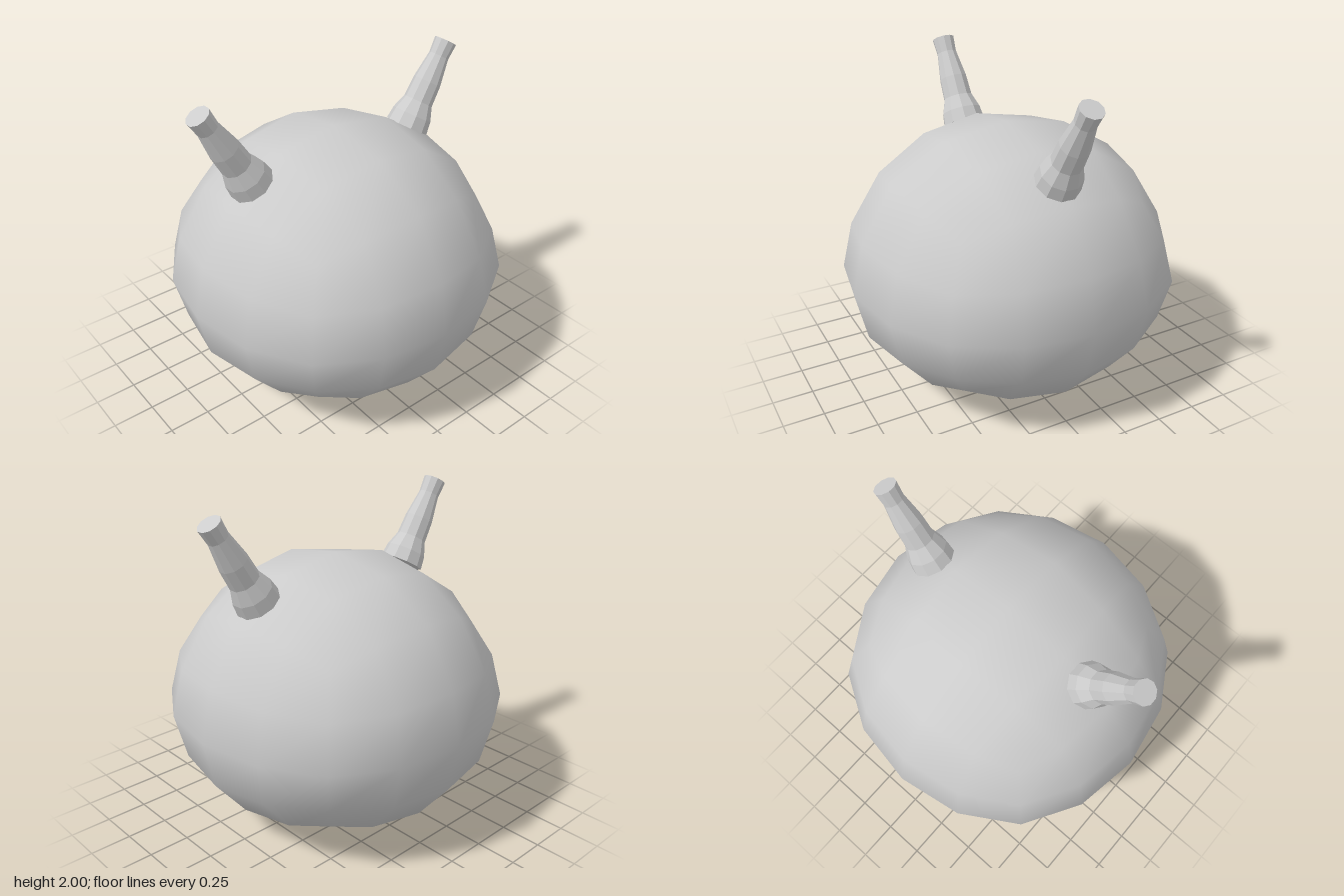
import * as THREE from 'three';
import { mergeVertices } from 'three/addons/utils/BufferGeometryUtils.js';

// Twice-subdivided cube: [outer, middle] coordinate for each kind of grid point
const ROUNDED = {
  '200': [1, 0], '210': [0.933, 0.399], '220': [0.732, 0],
  '211': [0.87, 0.371], '221': [0.682, 0.344], '222': [0.58, 0],
};

// Height above the middle: squashed below, fuller on top
const CROWN = [[0, 0], [0.399, 0.31], [0.732, 0.642], [0.933, 0.843], [1, 0.908]];
function bodyHeight(t) {
  if (t <= 0) return 0.748 * t;
  const i = Math.max(1, CROWN.findIndex(([a]) => t <= a + 1e-6));
  const [a, ya] = CROWN[i - 1], [b, yb] = CROWN[i];
  return THREE.MathUtils.mapLinear(t, a, b, ya, yb);
}

function makeBody(material) {
  let geo = new THREE.BoxGeometry(4, 4, 4, 4, 4, 4);
  geo.deleteAttribute('normal');
  geo.deleteAttribute('uv');
  geo = mergeVertices(geo);
  const pos = geo.attributes.position;
  for (let i = 0; i < pos.count; i++) {
    const c = [pos.getX(i), pos.getY(i), pos.getZ(i)].map(Math.round);
    const key = c.map(Math.abs).sort((a, b) => b - a).join('');
    const [outer, middle] = ROUNDED[key];
    const [x, y, z] = c.map((v) => Math.sign(v) * [0, middle, outer][Math.abs(v)]);
    pos.setXYZ(i, x, 0.748 + bodyHeight(y), z);
  }
  geo.computeVertexNormals();
  const body = new THREE.Mesh(geo, material);
  body.name = 'body';
  return body;
}

// Ten-sided stalk that flares at the base, swells and narrows below the tip
function makeStalk(side, material) {
  const profile = [
    [0, 0], [0.135, 0], [0.125, 0.08], [0.093, 0.17],
    [0.088, 0.3], [0.063, 0.47], [0.07, 0.568], [0, 0.568],
  ].map(([r, y]) => new THREE.Vector2(r, y));
  const stalk = new THREE.Mesh(new THREE.LatheGeometry(profile, 10), material);
  stalk.position.set(side * 0.58, 1.478, 0);
  stalk.rotation.z = -side * THREE.MathUtils.degToRad(31);
  stalk.name = side > 0 ? 'leftStalk' : 'rightStalk';
  return stalk;
}

export function createModel() {
  const smooth = new THREE.MeshStandardMaterial({ color: 0xcccccc });
  const faceted = new THREE.MeshStandardMaterial({ color: 0xcccccc, flatShading: true });
  const model = new THREE.Group();
  model.name = 'stalkedBody';
  model.add(makeBody(smooth));
  for (const side of [1, -1]) model.add(makeStalk(side, faceted));
  return model;
}
